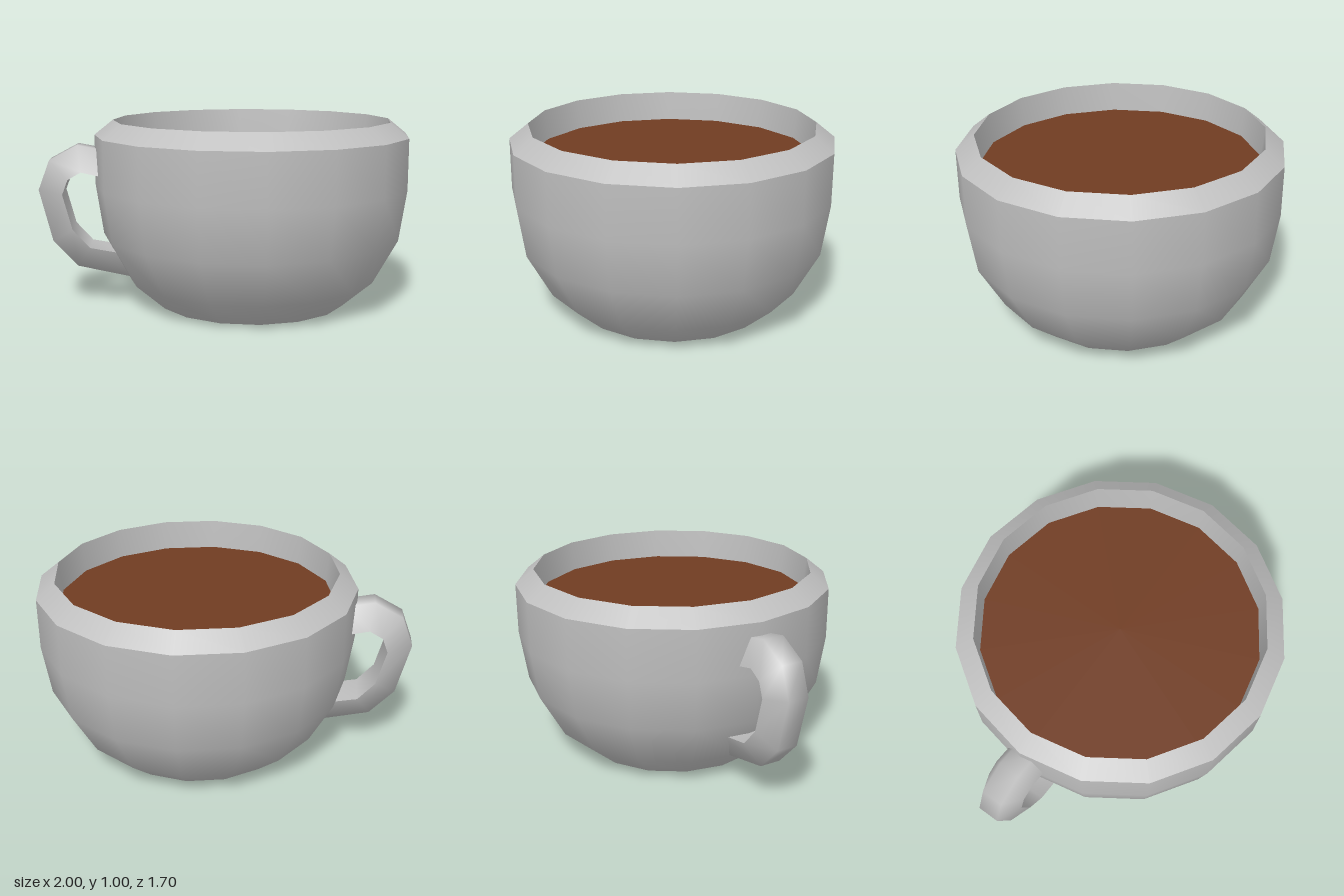
import * as THREE from 'three';

const SIDES = 16;
const CUP_X = 0.15;

// Strip of quads joining equal-length rows of points; smooth normals inside the strip.
function loft(rows) {
  const n = rows[0].length, index = [];
  for (let i = 0; i < rows.length - 1; i++) {
    for (let j = 0; j < n - 1; j++) {
      const a = i * n + j, b = a + 1, c = a + n, d = c + 1;
      index.push(a, c, b, b, c, d);
    }
  }
  const g = new THREE.BufferGeometry();
  g.setAttribute('position', new THREE.Float32BufferAttribute(rows.flat(2), 3));
  g.setIndex(index);
  g.computeVertexNormals();
  return g;
}

export function createModel() {
  const china = new THREE.MeshStandardMaterial({ color: 0xc0c0c0, side: THREE.DoubleSide });
  china.name = 'grey china';
  const coffee = new THREE.MeshStandardMaterial({ color: 0x703c22 });
  coffee.name = 'coffee brown';

  const model = new THREE.Group();
  model.name = 'coffeeCup';
  const add = (parent, name, geometry, material) => {
    const mesh = new THREE.Mesh(geometry, material);
    mesh.name = name;
    parent.add(mesh);
    return mesh;
  };

  // Cup: separate lathed bands keep the rim and foot edges crisp
  const cup = new THREE.Group();
  cup.name = 'cup';
  cup.position.x = CUP_X;
  model.add(cup);
  const bands = {
    base: [[0, 0], [0.52, 0]],
    outerWall: [[0.52, 0], [0.68, 0.14], [0.81, 0.38], [0.85, 0.65], [0.85, 0.92]],
    rim: [[0.85, 0.92], [0.75, 1]],
    innerWall: [[0.75, 1], [0.735, 0.84], [0.72, 0.6], [0.66, 0.38], [0.5, 0.16], [0, 0.1]],
  };
  for (const [name, points] of Object.entries(bands)) {
    const profile = points.map(([r, y]) => new THREE.Vector2(r, y));
    add(cup, name, new THREE.LatheGeometry(profile, SIDES), china);
  }

  // Coffee surface
  const surface = new THREE.CircleGeometry(0.738, SIDES).rotateX(-Math.PI / 2);
  add(cup, 'coffeeSurface', surface, coffee).position.y = 0.84;

  // Handle: wide flat inner face, narrower rounded outer face
  const outer = [[-0.64, 0.84], [-0.79, 0.87], [-0.94, 0.79], [-1, 0.63], [-0.93, 0.35], [-0.8, 0.21], [-0.49, 0.14]];
  const inner = [[-0.64, 0.7], [-0.77, 0.73], [-0.84, 0.69], [-0.87, 0.61], [-0.82, 0.42], [-0.73, 0.32], [-0.52, 0.28]];
  const handle = new THREE.Group();
  handle.name = 'handle';
  model.add(handle);
  const wide = 0.112, narrow = 0.057;
  add(handle, 'handleOuter', loft(outer.map((o, i) => [
    [...inner[i], -wide], [...o, -narrow], [...o, narrow], [...inner[i], wide],
  ])), china);
  add(handle, 'handleInner', loft(inner.map((p) => [[...p, wide], [...p, -wide]])), china);

  return model;
}
